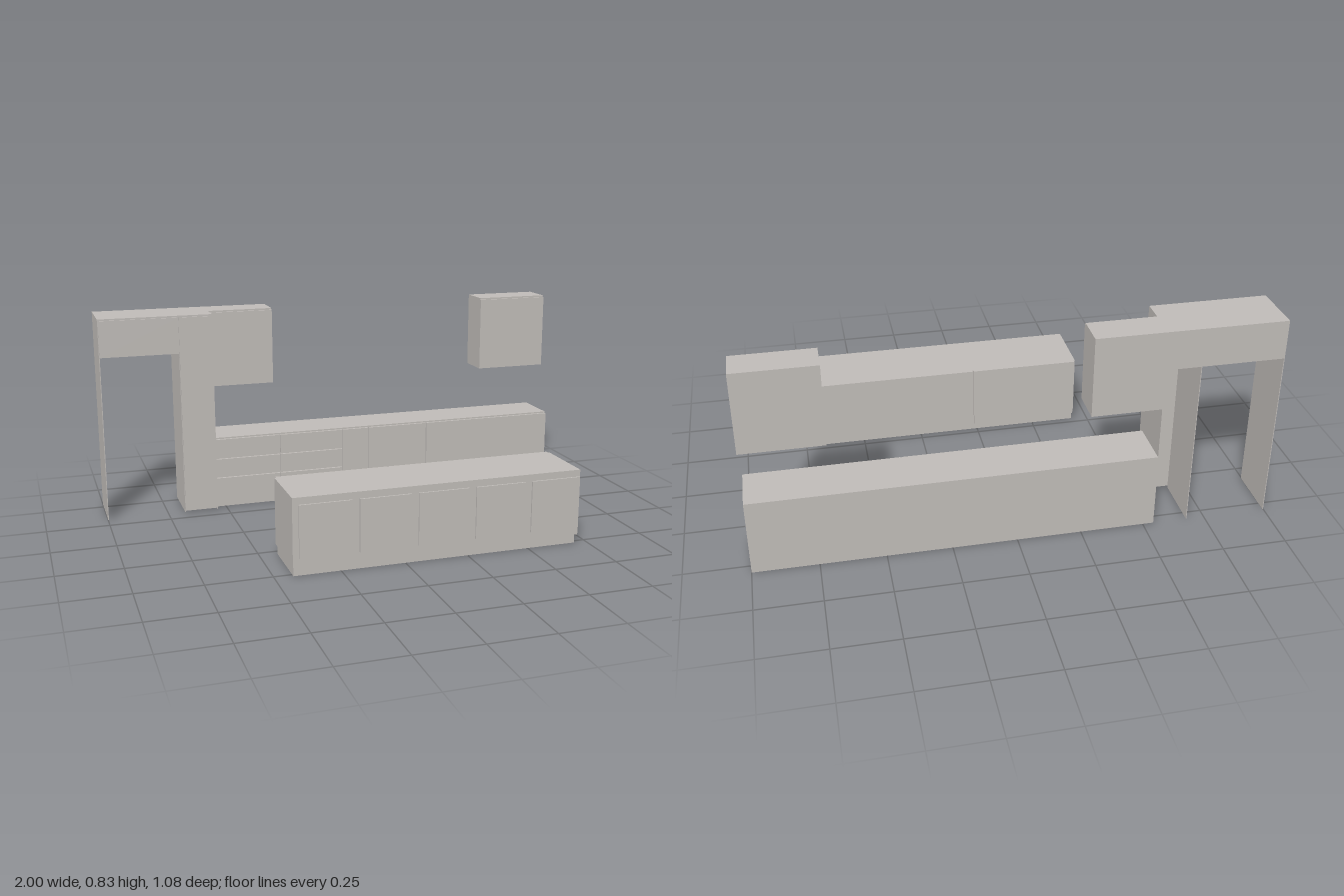
import * as THREE from 'three';

export function createModel() {
  const model = new THREE.Group();
  const warmGrey = new THREE.MeshStandardMaterial({ color: 0xc0bcb8 });
  warmGrey.name = 'warmGrey';

  // Box given by its [min, max] range on each axis
  function box(parent, name, [x0, x1], [y0, y1], [z0, z1]) {
    const mesh = new THREE.Mesh(new THREE.BoxGeometry(x1 - x0, y1 - y0, z1 - z0), warmGrey);
    mesh.position.set((x0 + x1) / 2, (y0 + y1) / 2, (z0 + z1) / 2);
    mesh.name = name;
    parent.add(mesh);
  }
  function group(name) {
    const g = new THREE.Group();
    g.name = name;
    model.add(g);
    return g;
  }
  const GAP = 0.002; // half of the seam between two fronts
  const BACK = -0.54;

  // Tall surround: bridge cabinet, open-backed narrow column, thin end panel
  const tall = group('tallSurround');
  box(tall, 'bridgeCarcass', [-1, -0.54], [0.68, 0.835], [BACK, -0.321]);
  box(tall, 'bridgeDoor', [-0.998, -0.68 - GAP], [0.68, 0.828], [-0.321, -0.315]);
  box(tall, 'endPanel', [-1, -0.997], [0, 0.68], [BACK, -0.319]);
  box(tall, 'columnOuterSide', [-0.68, -0.677], [0, 0.68], [BACK, -0.321]);
  box(tall, 'columnInnerSide', [-0.543, -0.54], [0, 0.68], [BACK, -0.321]);
  box(tall, 'columnDoor', [-0.68 + GAP, -0.542], [0.008, 0.828], [-0.321, -0.315]);

  // Wall cabinets with a finger groove along the top of the door
  for (const [x0, x1] of [[-0.54, -0.27], [0.69, 1]]) {
    const cabinet = group('wallCabinet');
    box(cabinet, 'wallCarcass', [x0, x1], [0.516, 0.835], [BACK, -0.411]);
    box(cabinet, 'wallDoor', [x0, x1], [0.516, 0.828], [-0.411, -0.403]);
  }

  // Base run along the wall
  const base = group('baseRun');
  box(base, 'baseCarcass', [-0.54, 1], [0.04, 0.305], [BACK, -0.348]);
  box(base, 'basePlinth', [-0.54, 1], [0, 0.04], [BACK, -0.355]);
  const drawerRows = [[0.04, 0.13], [0.138, 0.213], [0.221, 0.299]];
  const columns = [-0.54, -0.26, 0.02, 0.14, 0.41, 1];
  for (let i = 0; i < columns.length - 1; i++) {
    const span = [columns[i] + (i ? GAP : 0), columns[i + 1] - (i < 4 ? GAP : 0)];
    if (i < 2) drawerRows.forEach((row) => box(base, 'drawerFront', span, row, [-0.348, -0.337]));
    else box(base, 'baseDoor', span, [0.04, 0.299], [-0.348, -0.337]);
  }

  // Island
  const island = group('island');
  box(island, 'islandBody', [-0.435, 0.705], [0.038, 0.3], [0.272, 0.531]);
  box(island, 'islandPlinth', [-0.43, 0.7], [0, 0.038], [0.28, 0.517]);
  box(island, 'islandBackPanel', [-0.429, 0.018 - GAP], [0.038, 0.3], [0.26, 0.272]);
  box(island, 'islandBackPanel', [0.018 + GAP, 0.699], [0.038, 0.3], [0.26, 0.272]);
  for (let i = 0; i < 5; i++) {
    const x = -0.412 + i * 0.2285;
    box(island, 'islandFrontPanel', [x, x + 0.2], [0.07, 0.273], [0.531, 0.538]);
  }

  return model;
}
